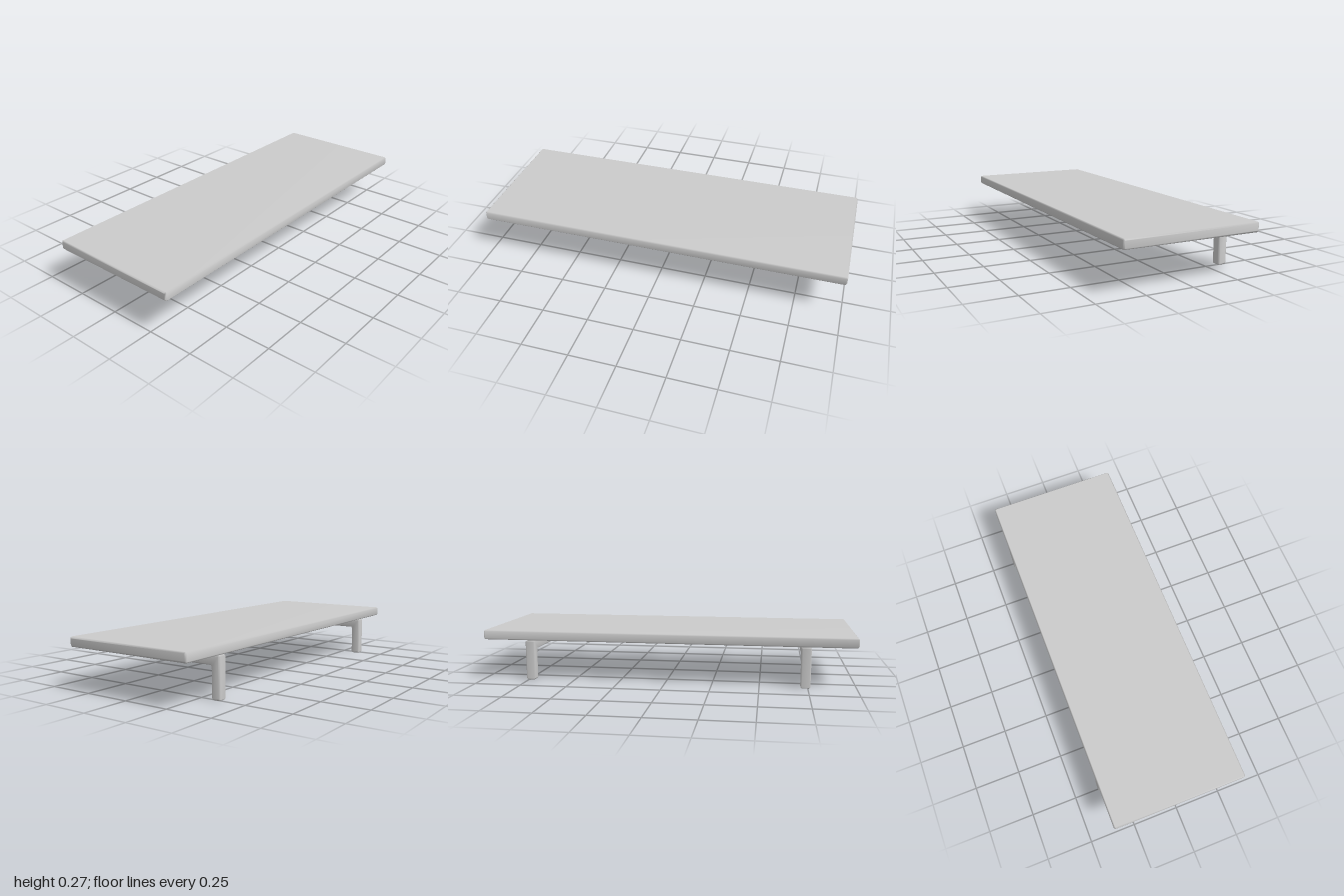
import * as THREE from 'three';
import { mergeVertices } from 'three/addons/utils/BufferGeometryUtils.js';

const BEVEL = 0.007;

// Extrudes an x-y outline along z, centred, with a softened chamfer on every edge
function bevelledPrism(points, depth) {
  const shape = new THREE.Shape(points.map(([x, y]) => new THREE.Vector2(x, y)));
  let geometry = new THREE.ExtrudeGeometry(shape, {
    depth: depth - 2 * BEVEL,
    bevelEnabled: true,
    bevelThickness: BEVEL,
    bevelSize: BEVEL,
    bevelOffset: -BEVEL,
    bevelSegments: 1,
  });
  geometry.translate(0, 0, BEVEL - depth / 2);
  // Shared vertices give area-weighted smooth normals over the chamfers
  geometry.deleteAttribute('uv');
  geometry.deleteAttribute('normal');
  geometry = mergeVertices(geometry, 1e-5);
  geometry.computeVertexNormals();
  return geometry;
}

// Cuts each corner of an outline by a short diagonal
function cutCorners(corners, size = BEVEL) {
  const toward = ([ax, ay], [bx, by]) => {
    const t = size / Math.hypot(bx - ax, by - ay);
    return [ax + (bx - ax) * t, ay + (by - ay) * t];
  };
  const n = corners.length;
  return corners.flatMap((c, i) => [
    toward(c, corners[(i + n - 1) % n]),
    toward(c, corners[(i + 1) % n]),
  ]);
}

export function createModel() {
  const group = new THREE.Group();
  group.name = 'wallShelf';
  const material = new THREE.MeshStandardMaterial({ color: 0xcccccc });

  // Shelf board
  const board = new THREE.Mesh(
    bevelledPrism(cutCorners([[-0.368, 0.217], [0.368, 0.217], [0.368, 0.268], [-0.368, 0.268]]), 2),
    material
  );
  board.name = 'shelfBoard';
  group.add(board);

  // L-shaped brackets under the board, one near each end
  const bracketGeometry = bevelledPrism(
    cutCorners([
      [-0.368, 0.002], [-0.317, 0.002], [-0.317, 0.165],
      [0.208, 0.165], [0.208, 0.216], [-0.368, 0.216],
    ].map(([x, y]) => [x, y === 0.002 ? 0 : y])),
    0.051
  );
  for (const [name, z] of [['frontBracket', 0.738], ['backBracket', -0.738]]) {
    const bracket = new THREE.Mesh(bracketGeometry, material);
    bracket.name = name;
    bracket.position.z = z;
    group.add(bracket);
  }

  return group;
}
